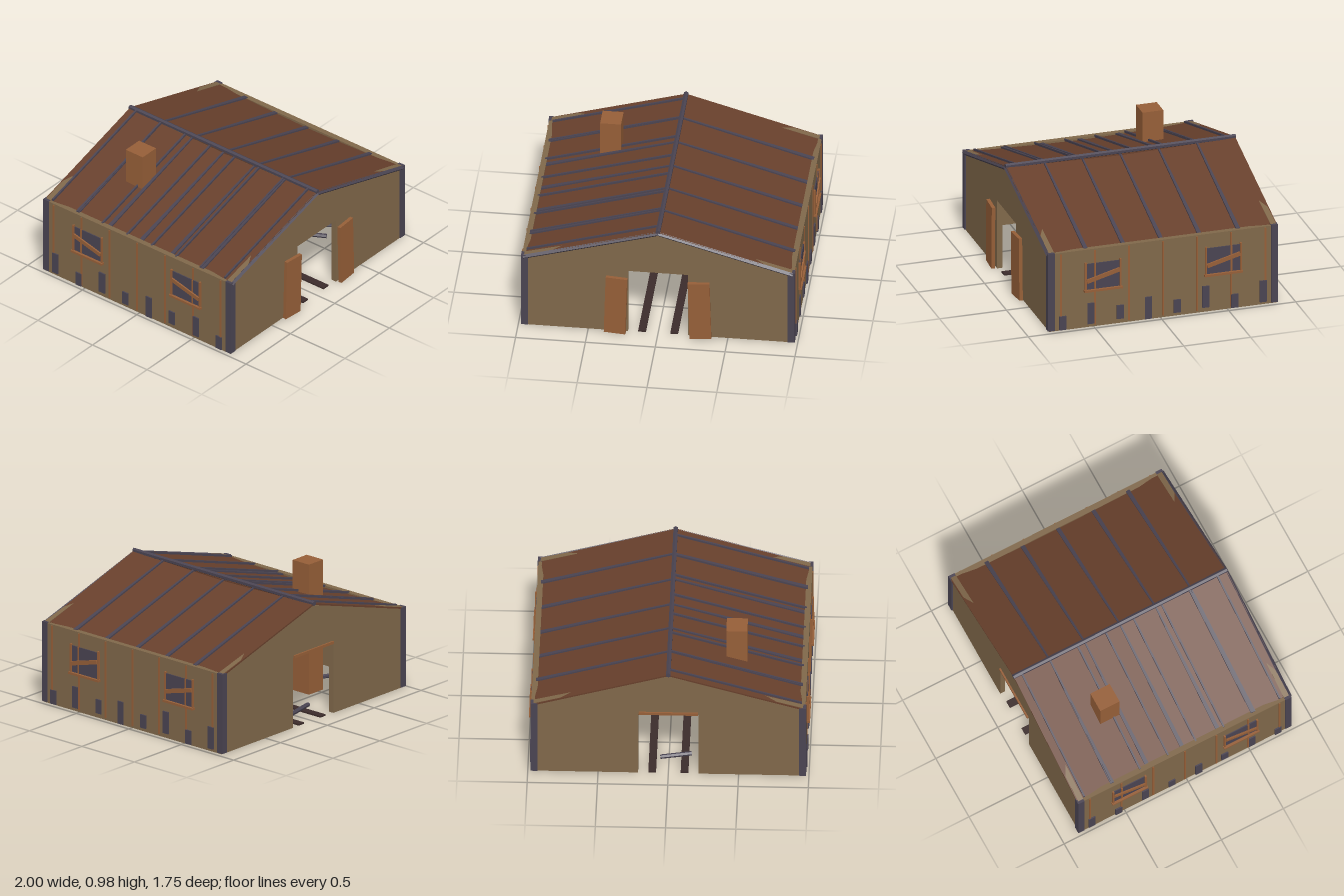
import * as THREE from 'three';

const mat = (name, color) => {
  const m = new THREE.MeshStandardMaterial({ color });
  m.name = name;
  return m;
};

export function createModel() {
  const root = new THREE.Group();
  root.name = 'oldBarn';
  const house = new THREE.Group();
  house.name = 'building';
  house.position.z = -0.015;
  root.add(house);

  const wall = mat('weatheredPlank', 0x80684a);
  const wood = mat('orangeWood', 0x965f38);
  const roof = mat('rustRoof', 0x68402c);
  const dark = mat('darkTimber', 0x4a4452);
  const track = mat('trackBrown', 0x3c2c2b);

  const add = (name, geo, m, parent = house) => {
    const mesh = new THREE.Mesh(geo, m);
    mesh.name = name;
    parent.add(mesh);
    return mesh;
  };
  const box = (name, m, w, h, d, x, y, z, parent = house) => {
    const b = add(name, new THREE.BoxGeometry(w, h, d), m, parent);
    b.position.set(x, y, z);
    return b;
  };
  // round or square timber between two points
  const beam = (name, m, a, b, r, sides = 6) => {
    const p = new THREE.Vector3(...a), q = new THREE.Vector3(...b);
    const g = new THREE.CylinderGeometry(r, r, p.distanceTo(q), sides).toNonIndexed();
    g.computeVertexNormals();
    const mesh = add(name, g, m);
    mesh.position.copy(p).add(q).multiplyScalar(0.5);
    mesh.quaternion.setFromUnitVectors(new THREE.Vector3(0, 1, 0), q.sub(p).normalize());
    return mesh;
  };

  // front and back walls with a doorway, plus gables
  const W = 0.97;
  const endWall = new THREE.Shape([[-W, 0.005], [-0.215, 0.005], [-0.215, 0.53], [0.215, 0.53],
    [0.215, 0.005], [W, 0.005], [W, 0.607], [-W, 0.607]].map(p => new THREE.Vector2(...p)));
  const gable = new THREE.Shape([[-W, 0.607], [W, 0.607], [0, 0.872]].map(p => new THREE.Vector2(...p)));
  for (const [side, z] of [['front', 0.81], ['back', -0.85]]) {
    const opts = { depth: 0.04, bevelEnabled: false };
    add(side + 'Wall', new THREE.ExtrudeGeometry(endWall, opts), wall).position.z = z;
    add(side + 'Gable', new THREE.ExtrudeGeometry(gable, opts), wall).position.z = z;
  }
  box('backLintel', wood, 0.42, 0.02, 0.012, 0, 0.54, -0.856);

  // sagging roof: strips follow the slope and dip in the middle
  const HALF = 0.857;
  const sag = z => 0.026 * (1 - Math.min(1, Math.abs(z) / HALF) ** 1.5);
  const strip = (name, m, s, z, len, thick, lift, taper = 1, segs = 1, drop = 1) => {
    const g = new THREE.BoxGeometry(1, thick, len, 1, 1, segs).toNonIndexed();
    const p = g.attributes.position;
    for (let i = 0; i < p.count; i++) {
      const u = 0.5 + s * p.getX(i);
      const pz = z + p.getZ(i) * (taper + (1 - taper) * u);
      const y = THREE.MathUtils.lerp(0.88, 0.603, u) - drop * sag(pz) + lift + p.getY(i);
      p.setXYZ(i, s * (0.008 + 0.942 * u), y, pz);
    }
    g.computeVertexNormals();
    add(name, g, m);
  };
  for (const s of [-1, 1]) {
    strip('roofSlope', roof, s, 0, HALF * 2, 0.012, 0, 1, 6);
    for (let i = -2; i <= 2; i++) strip('rafter', dark, s, i * 0.285, 0.03, 0.036, 0, 0.4);
    // barge board on the front gable
    beam('bargeBoard', dark, [0, 0.872, 0.852], [s * 0.965, 0.593, 0.852], 0.017, 4);
  }
  for (let i = 0; i < 8; i++) strip('roofBatten', dark, -1, -0.795 + i * 0.225, 0.013, 0.016, 0.012, 1, 1, 0.7);
  beam('ridgePole', dark, [0, 0.888, -0.862], [0, 0.888, 0.86], 0.018, 6);

  // side walls with battens, windows and patches
  const patches = [[0.735, 0.01, 0.115], [0.525, 0.03, 0.19], [0.305, 0.04, 0.145], [0.095, 0.01, 0.18],
    [-0.12, 0.03, 0.13], [-0.335, 0.04, 0.205], [-0.55, 0.01, 0.115], [-0.765, 0.025, 0.19]];
  for (const s of [-1, 1]) {
    box('sideWall', wall, 0.04, 0.6, 1.7, s * 0.955, 0.305, 0);
    for (let i = -3; i <= 3; i++) box('wallBatten', wood, 0.008, 0.575, 0.013, s * 0.977, 0.308, i * 0.255);
    for (const [z, y0, y1] of patches)
      box('wallPatch', dark, 0.01, y1 - y0, 0.052, s * 0.981, (y0 + y1) / 2, z + 0.015);
    for (const z of [-0.45, 0.45]) {
      const win = new THREE.Group();
      win.name = 'boardedWindow';
      win.position.set(s * 0.978, 0.395, z);
      house.add(win);
      box('pane', dark, 0.008, 0.2, 0.25, 0, 0, 0, win);
      box('mullion', wood, 0.011, 0.2, 0.013, s * 0.002, 0, z > 0 ? -0.068 + 0.128 : -0.06, win);
      for (const k of [-1, 1]) box('windowJamb', wood, 0.018, 0.215, 0.013, s * 0.004, 0.005, k * 0.13, win);
      box('windowSill', wood, 0.026, 0.016, 0.285, s * 0.009, -0.106, 0, win);
      box('nailedBoard', wood, 0.012, 0.03, 0.255, s * 0.012, 0, 0, win).rotation.x = 0.26;
    }
    // corner posts
    for (const k of [-1, 1]) box('cornerPost', dark, 0.05, 0.6, 0.05, s * 0.955, 0.31, k * 0.835);
  }

  // chimney standing on the ground
  box('chimney', wood, 0.15, 0.98, 0.155, -0.475, 0.49, -0.375);

  // loose doors leaning by the front entrance
  for (const s of [-1, 1]) {
    const door = box('door', wood, 0.155, 0.476, 0.026, s * 0.3, 0.242, 0.872);
    door.rotation.set(0, s * 0.06, s * -0.028 * -1);
  }

  // floor tracks and fallen timbers
  for (const s of [-1, 1]) box('floorTrack', track, 0.055, 0.012, 1.68, s * 0.115, 0.006, 0);
  const logs = [[0.83, 0.53, 0.39, 0], [0.8, 0.37, 0.55, 0.12], [0.59, 0.46, 0.455, 0.22],
    [-0.566, -0.28, -0.8, -0.4], [0.36, -0.38, 0.13, 0.02], [0.06, -0.7, -0.16, -0.66]];
  for (const [x0, z0, x1, z1] of logs)
    beam('fallenTimber', dark, [x0, 0.035, z0], [x1, 0.04, z1], 0.016, 6);

  return root;
}
